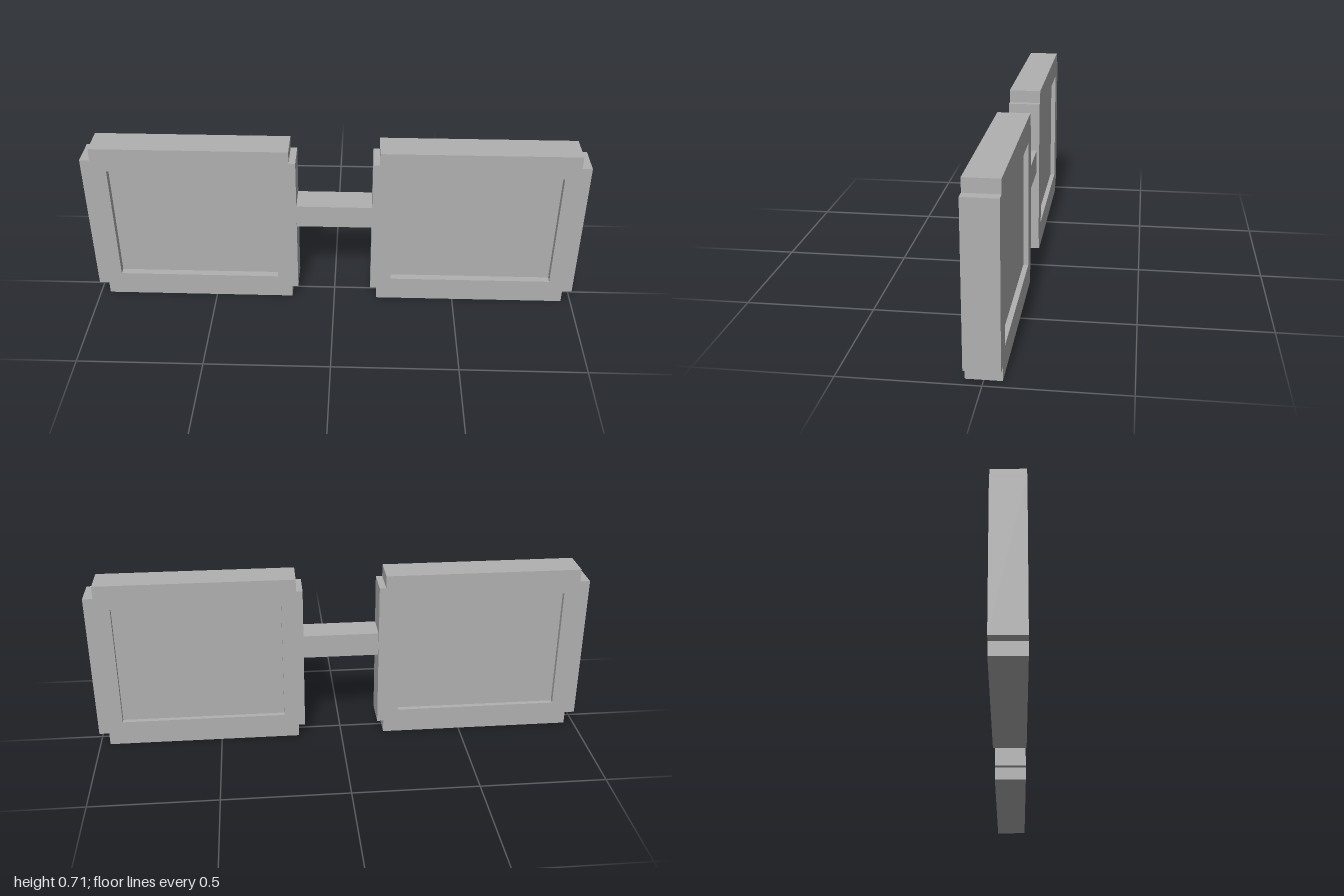
import * as THREE from 'three';

const H = 0.708, DEPTH = 0.128;
const INNER = 0.152, OUTER = 1;

// Frame outline: a rectangle with a small square step cut from every corner
function frameShape() {
  const stepIn = 0.178, stepOut = 0.96, low = 0.052, high = H - 0.051;
  const shape = new THREE.Shape([
    [stepIn, 0], [stepOut, 0], [stepOut, low], [OUTER, low],
    [OUTER, high], [stepOut, high], [stepOut, H], [stepIn, H],
    [stepIn, high], [INNER, high], [INNER, low], [stepIn, low],
  ].map(([x, y]) => new THREE.Vector2(x, y)));
  const hole = [[0.237, 0.102], [0.237, 0.608], [0.9, 0.608], [0.9, 0.102]];
  shape.holes.push(new THREE.Path(hole.map(([x, y]) => new THREE.Vector2(x, y))));
  return shape;
}

export function createModel() {
  const model = new THREE.Group();
  model.name = 'linkedFrames';
  const grey = new THREE.MeshStandardMaterial({ name: 'grey', color: 0xb0b0b0 });

  // Box given by its lower and upper corners
  const addBox = (parent, name, [x0, y0, z0], [x1, y1, z1]) => {
    const mesh = new THREE.Mesh(new THREE.BoxGeometry(x1 - x0, y1 - y0, z1 - z0), grey);
    mesh.position.set((x0 + x1) / 2, (y0 + y1) / 2, (z0 + z1) / 2);
    mesh.name = name;
    parent.add(mesh);
  };

  const frameGeometry = new THREE.ExtrudeGeometry(frameShape(), { depth: DEPTH, bevelEnabled: false });
  frameGeometry.translate(0, 0, -DEPTH / 2);

  // Two framed panels, recessed deeper in front than behind
  for (const side of ['left', 'right']) {
    const half = new THREE.Group();
    half.name = side + 'Panel';
    const frame = new THREE.Mesh(frameGeometry, grey);
    frame.name = side + 'Frame';
    if (side === 'right') frame.position.x = -(INNER + OUTER);
    half.add(frame);
    const x0 = side === 'left' ? 0.237 : -0.9;
    if (side === 'right') {
      // Mirrored by a half turn, as the outline is symmetric front to back
      frame.rotation.y = Math.PI;
      frame.position.x = 0;
    }
    addBox(half, side + 'Pane', [x0, 0.102, -0.044], [x0 + 0.663, 0.608, 0.034]);
    model.add(half);
  }

  // Bar joining the frames
  addBox(model, 'bridge', [-INNER, 0.36, -0.053], [INNER, 0.456, 0.062]);
  return model;
}
